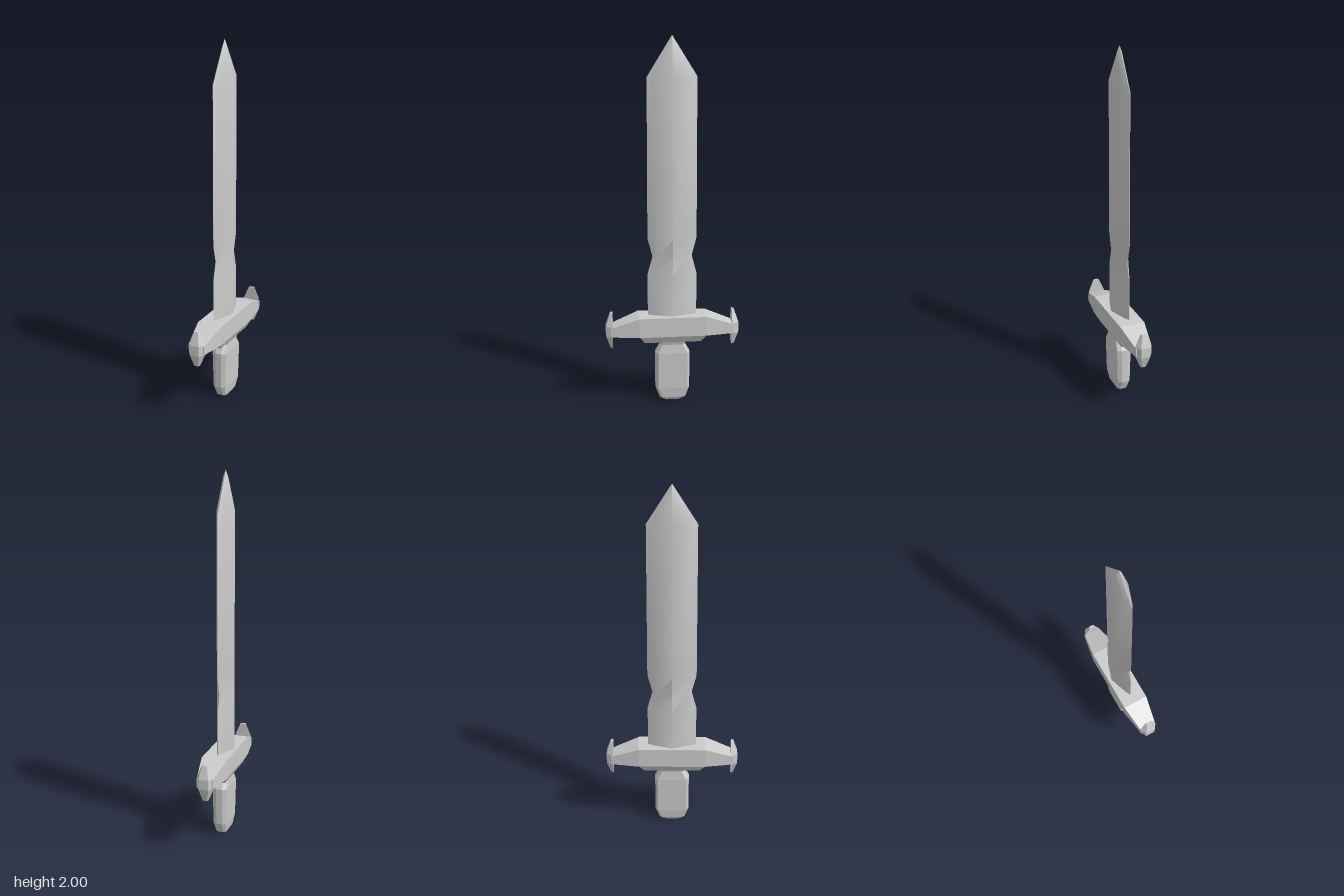
import * as THREE from 'three';
import { toCreasedNormals } from 'three/addons/utils/BufferGeometryUtils.js';

// Skin a list of rings (counter-clockwise seen from the far end) and cap both ends
function loft(rings) {
  const pos = [];
  const tri = (a, b, c) => {
    const [A, B, C] = [a, b, c].map((p) => new THREE.Vector3(...p));
    if (B.sub(A).cross(C.sub(A)).length() > 1e-9) pos.push(...a, ...b, ...c);
  };
  const n = rings[0].length;
  for (let i = 0; i < rings.length - 1; i++) {
    for (let j = 0; j < n; j++) {
      const k = (j + 1) % n;
      tri(rings[i][j], rings[i][k], rings[i + 1][k]);
      tri(rings[i][j], rings[i + 1][k], rings[i + 1][j]);
    }
  }
  const first = rings[0], last = rings[rings.length - 1];
  for (let j = 1; j < n - 1; j++) {
    tri(first[0], first[j + 1], first[j]);
    tri(last[0], last[j], last[j + 1]);
  }
  const geo = new THREE.BufferGeometry();
  geo.setAttribute('position', new THREE.Float32BufferAttribute(pos, 3));
  geo.computeVertexNormals();
  return geo;
}

function addMesh(parent, name, geometry, flatShading = true) {
  const mesh = new THREE.Mesh(geometry, new THREE.MeshStandardMaterial({ color: 0xcccccc, flatShading }));
  mesh.name = name;
  parent.add(mesh);
  return mesh;
}

// Diamond blade section with a steeper bevel along each cutting edge
const bladeRing = (y, edge) => {
  const b = edge - 0.025;
  return [[0, y, edge], [0.0135, y, b], [0.05, y, 0], [0.0135, y, -b],
    [0, y, -edge], [-0.0135, y, -b], [-0.05, y, 0], [-0.0135, y, b]];
};

// Chamfered rectangle in the horizontal plane
const gripRing = ([y, hx, hz, cx, cz]) => [
  [hx - cx, y, hz], [hx, y, hz - cz], [hx, y, -hz + cz], [hx - cx, y, -hz],
  [-hx + cx, y, -hz], [-hx, y, -hz + cz], [-hx, y, hz - cz], [-hx + cx, y, hz]];

const rectXZ = (y, hx, hz) => [[-hx, y, hz], [hx, y, hz], [hx, y, -hz], [-hx, y, -hz]];
const rectXY = (z, hx, y0, y1) => [[-hx, y0, z], [hx, y0, z], [hx, y1, z], [-hx, y1, z]];

export function createModel() {
  const sword = new THREE.Group();
  sword.name = 'sword';

  // Blade with pinched waist and pointed tip
  const rings = [[0.44, 0.132], [0.72, 0.132], [0.82, 0.106], [0.92, 0.132], [1.785, 0.132]]
    .map(([y, edge]) => bladeRing(y, edge));
  const tip = [0, 2, 0], right = [0.0135, 1.965, 0], left = [-0.0135, 1.965, 0];
  rings.push([tip, right, right, right, tip, left, left, left]);
  const blade = addMesh(sword, 'blade', toCreasedNormals(loft(rings), 0.75), false);
  blade.position.x = -0.003;

  // Crossguard: tapering bar, lower collar and flared end caps
  const guard = new THREE.Group();
  guard.name = 'crossguard';
  sword.add(guard);
  addMesh(guard, 'guardBar', loft([
    rectXY(-0.335, 0.045, 0.383, 0.432), rectXY(-0.183, 0.07, 0.383, 0.49),
    rectXY(0.183, 0.07, 0.383, 0.49), rectXY(0.335, 0.045, 0.383, 0.432)]));
  addMesh(guard, 'guardCollar', loft([rectXZ(0.345, 0.05, 0.152), rectXZ(0.384, 0.07, 0.18)]));

  // y, inner half width, outer half width, outer z
  const capProfile = [[0.312, 0.017, 0.011, 0.337], [0.382, 0.047, 0.027, 0.36],
    [0.438, 0.047, 0.027, 0.36], [0.51, 0.017, 0.011, 0.337]];
  const capGeo = loft(capProfile.map(([y, inner, outer, z]) =>
    [[-outer, y, z], [outer, y, z], [inner, y, 0.324], [-inner, y, 0.324]]));
  for (const [name, turn] of [['frontGuardCap', 0], ['backGuardCap', Math.PI]]) {
    addMesh(guard, name, capGeo).rotation.y = turn;
  }

  // Grip with a narrow neck and rounded-off base
  const grip = addMesh(sword, 'grip', loft([
    [0.004, 0.02, 0.04, 0.006, 0.012],
    [0.02, 0.029, 0.07, 0.012, 0.014],
    [0.075, 0.036, 0.092, 0.02, 0.014],
    [0.28, 0.041, 0.094, 0.024, 0.014],
    [0.33, 0.036, 0.066, 0.02, 0.012],
    [0.35, 0.042, 0.08, 0.022, 0.014]].map(gripRing)));
  grip.position.set(0.004, -0.004, 0);

  return sword;
}
